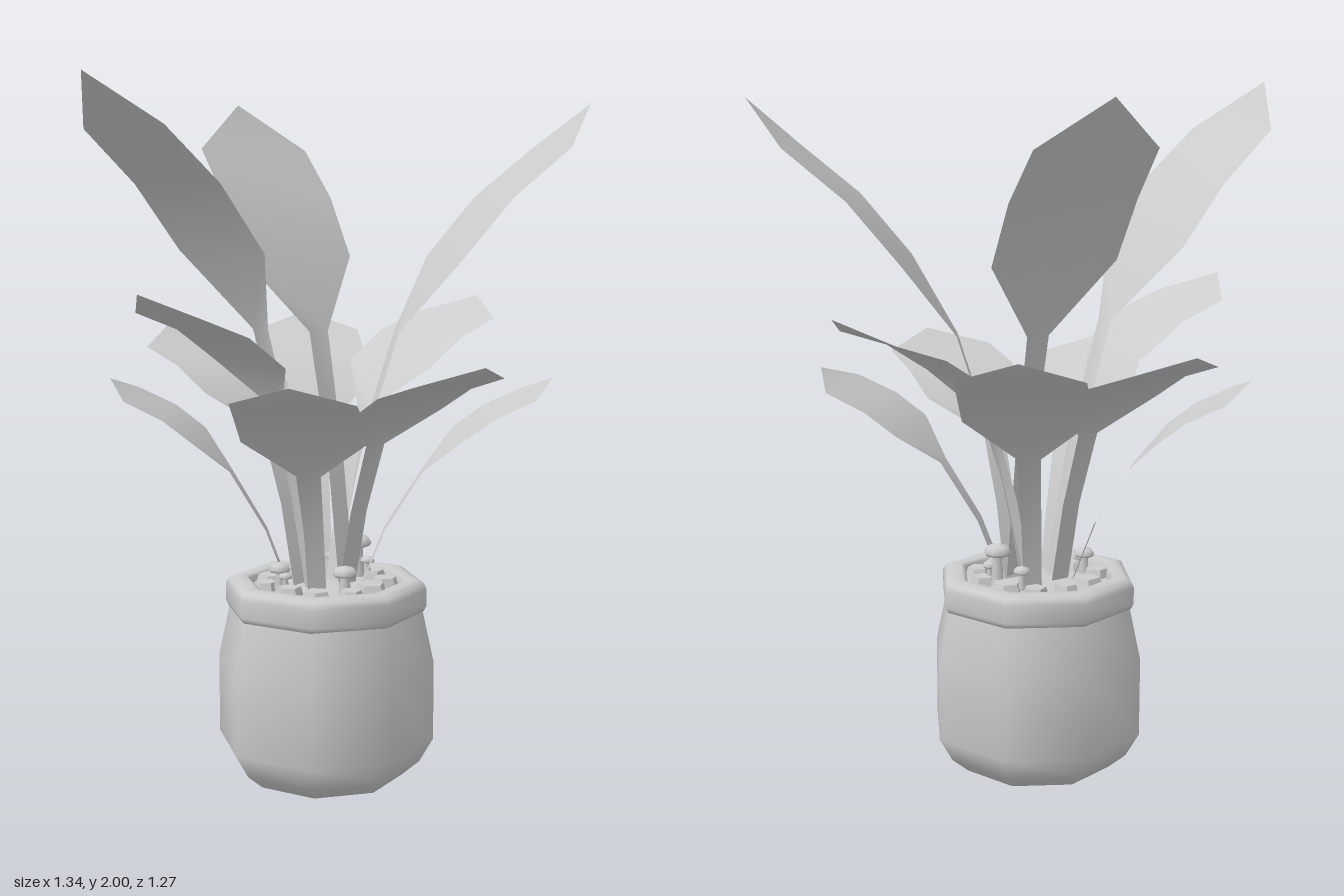
import * as THREE from 'three';

const CX = -0.07, CZ = 0.03; // pot axis
const grey = new THREE.MeshStandardMaterial({ color: 0xcccccc });
const thin = new THREE.MeshStandardMaterial({ color: 0xcccccc, side: THREE.DoubleSide });
const flat = new THREE.MeshStandardMaterial({ color: 0xcccccc, flatShading: true });

// Leaf profiles, root to tip: [reach fraction, height fraction, half width]
const TALL = [[0, 0, 0.03], [0.1, 0.27, 0.03], [0.25, 0.53, 0.036], [0.43, 0.68, 0.205], [0.62, 0.805, 0.208], [0.84, 0.905, 0.2], [1, 1, 0]];
const MIDDLE = [[0, 0, 0.03], [0.09, 0.33, 0.03], [0.22, 0.63, 0.034], [0.38, 0.77, 0.17], [0.59, 0.87, 0.173], [0.83, 0.93, 0.168], [1, 1, 0]];
const LOW = [[0, 0, 0.026], [0.13, 0.29, 0.028], [0.33, 0.57, 0.034], [0.5, 0.73, 0.17], [0.67, 0.84, 0.172], [0.88, 0.925, 0.165], [1, 1, 0]];

// [profile, root x, root z, tip x, tip y, tip z]
const LEAVES = [
  [TALL, -0.1, 0.06, -0.6, 2.0, 0.57],
  [TALL, -0.01, 0.01, -0.375, 1.955, -0.285],
  [TALL, -0.06, -0.05, 0.665, 1.955, -0.29],
  [MIDDLE, -0.01, 0.0, 0.4, 1.25, 0.37],
  [MIDDLE, -0.06, -0.03, 0.33, 1.385, -0.49],
  [MIDDLE, -0.14, 0.03, -0.6, 1.3, -0.29],
  [MIDDLE, -0.1, 0.09, -0.49, 1.44, 0.49],
  [LOW, -0.08, 0.12, -0.08, 1.215, 0.59],
  [LOW, 0.03, 0.02, 0.57, 1.18, -0.05],
  [LOW, -0.09, -0.07, -0.235, 1.32, -0.645],
  [LOW, -0.17, 0.06, -0.67, 1.18, 0.12],
];

// A leaf is one ribbon: narrow stalk, wide blade, single tip point
function leafGeometry(profile, rx, rz, tx, ty, tz) {
  const root = new THREE.Vector3(rx, 0.57, rz);
  const span = new THREE.Vector3(tx, ty, tz).sub(root);
  const side = new THREE.Vector3(span.z, 0, -span.x).normalize();
  const pos = [], index = [], last = profile.length - 1;
  profile.forEach(([reach, rise, half], i) => {
    const c = new THREE.Vector3(span.x * reach, span.y * rise, span.z * reach).add(root);
    if (i === last) {
      pos.push(c.x, c.y, c.z);
      index.push(2 * i - 2, 2 * i - 1, 2 * i);
      return;
    }
    for (const s of [-half, half]) pos.push(c.x + side.x * s, c.y, c.z + side.z * s);
    if (i > 0) {
      const a = 2 * i - 2;
      index.push(a, a + 1, a + 3, a, a + 3, a + 2);
    }
  });
  const g = new THREE.BufferGeometry();
  g.setAttribute('position', new THREE.Float32BufferAttribute(pos, 3));
  g.setIndex(index);
  g.computeVertexNormals();
  return g;
}

function lathe(name, points, sides, material = grey) {
  const g = new THREE.LatheGeometry(points.map(p => new THREE.Vector2(...p)), sides);
  const m = new THREE.Mesh(g, material);
  m.name = name;
  return m;
}

function mushroom(x, z, top, r) {
  const group = new THREE.Group();
  group.name = 'mushroom';
  const h = top - 0.58;
  const stalk = lathe('mushroomStalk', [[r * 0.5, 0], [r * 0.38, h * 0.5], [r * 0.38, h * 0.75]], 8);
  const cap = lathe('mushroomCap', [[0, h - r * 0.8], [r * 0.85, h - r * 0.85], [r, h - r * 0.6], [r * 0.75, h - r * 0.2], [0, h]], 8);
  group.add(stalk, cap);
  group.position.set(x, 0.58, z);
  return group;
}

export function createModel() {
  const model = new THREE.Group();
  model.name = 'pottedPlant';

  // Pot: eight-sided body, thick rim, soil
  const pot = new THREE.Group();
  pot.name = 'pot';
  pot.position.set(CX, 0, CZ);
  pot.add(
    lathe('potBase', [[0, 0], [0.19, 0.005]], 8),
    lathe('potBody', [[0.19, 0.005], [0.225, 0.018], [0.275, 0.06], [0.315, 0.13], [0.315, 0.36], [0.28, 0.52]], 8),
    lathe('potRim', [[0.27, 0.508], [0.285, 0.51], [0.293, 0.525], [0.293, 0.575], [0.285, 0.592], [0.265, 0.6],
      [0.235, 0.6], [0.222, 0.592], [0.218, 0.56]], 8),
    lathe('soil', [[0.225, 0.575], [0, 0.582]], 8),
  );

  // Flat stones on the soil
  for (let i = 0; i < 11; i++) {
    const a = i / 11 * Math.PI * 2, r = 0.165 + 0.012 * Math.sin(i * 2.3);
    const size = 0.042 + 0.007 * Math.sin(i * 4.1);
    const stone = new THREE.Mesh(new THREE.CylinderGeometry(size * 0.8, size, 0.025, 5 + i % 2), flat);
    stone.name = 'stone';
    stone.position.set(Math.sin(a) * r, 0.589, Math.cos(a) * r);
    stone.rotation.y = i * 1.7;
    pot.add(stone);
  }
  model.add(pot);

  // Mushrooms
  for (const m of [[0.0, 0.13, 0.66, 0.036], [0.01, -0.09, 0.705, 0.04], [-0.19, 0.11, 0.66, 0.032],
    [0.04, -0.07, 0.645, 0.022], [-0.17, 0.13, 0.635, 0.02], [-0.07, -0.11, 0.65, 0.025]]) {
    model.add(mushroom(...m));
  }

  // Leaves
  const leaves = new THREE.Group();
  leaves.name = 'leaves';
  for (const spec of LEAVES) {
    const leaf = new THREE.Mesh(leafGeometry(...spec), thin);
    leaf.name = 'leaf';
    leaves.add(leaf);
  }
  model.add(leaves);
  return model;
}
